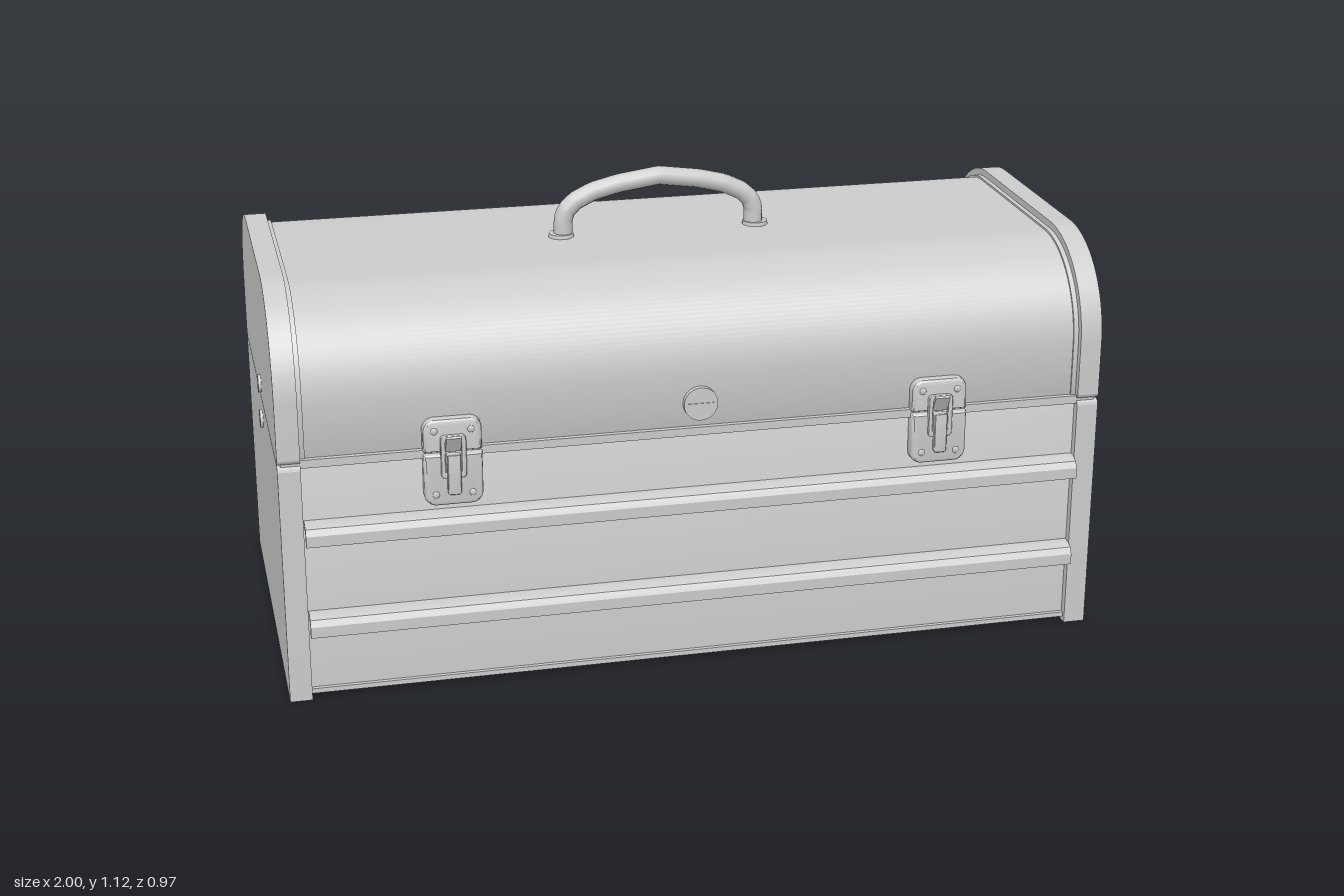
import * as THREE from 'three';
import { toCreasedNormals } from 'three/addons/utils/BufferGeometryUtils.js';

const material = new THREE.MeshStandardMaterial({ color: 0xcccccc });

function add(parent, name, geometry, x = 0, y = 0, z = 0) {
  const mesh = new THREE.Mesh(geometry, material);
  mesh.name = name;
  mesh.position.set(x, y, z);
  parent.add(mesh);
  return mesh;
}

// Rectangle with separate radii for its bottom and top corners
function roundedRect(x0, x1, y0, y1, rBottom, rTop) {
  const s = new THREE.Shape();
  s.moveTo(x0 + rBottom, y0);
  s.lineTo(x1 - rBottom, y0);
  if (rBottom) s.absarc(x1 - rBottom, y0 + rBottom, rBottom, -Math.PI / 2, 0);
  s.lineTo(x1, y1 - rTop);
  if (rTop) s.absarc(x1 - rTop, y1 - rTop, rTop, 0, Math.PI / 2);
  s.lineTo(x0 + rTop, y1);
  if (rTop) s.absarc(x0 + rTop, y1 - rTop, rTop, Math.PI / 2, Math.PI);
  s.lineTo(x0, y0 + rBottom);
  if (rBottom) s.absarc(x0 + rBottom, y0 + rBottom, rBottom, Math.PI, Math.PI * 1.5);
  return s;
}

// Extrude a side profile (drawn in -z, y) along x
function extrudeX(shape, x0, x1) {
  const g = new THREE.ExtrudeGeometry(shape, { depth: x1 - x0, bevelEnabled: false, curveSegments: 16 });
  g.rotateY(Math.PI / 2).translate(x0, 0, 0);
  return toCreasedNormals(g, 0.5);
}

// Extrude a front outline towards +z with a rounded rim
function pressed(shape, depth, bevel) {
  const g = new THREE.ExtrudeGeometry(shape, {
    depth: depth - bevel, bevelThickness: bevel, bevelSize: bevel, bevelOffset: -bevel,
    bevelSegments: 3, curveSegments: 6,
  });
  return toCreasedNormals(g, 0.5);
}

function makeLatch() {
  const latch = new THREE.Group();
  latch.name = 'latch';
  add(latch, 'latchLowerPlate', pressed(roundedRect(-0.069, 0.069, 0.47, 0.598, 0.028, 0.004), 0.03, 0.012), 0, 0, 0.44);
  add(latch, 'latchUpperPlate', pressed(roundedRect(-0.069, 0.069, 0.601, 0.682, 0.004, 0.028), 0.024, 0.012), 0, 0, 0.44);

  // Wire loop hooked over the catch
  const loop = roundedRect(-0.03, 0.03, 0.54, 0.645, 0.01, 0.01);
  loop.holes.push(roundedRect(-0.019, 0.019, 0.552, 0.633, 0.006, 0.006));
  add(latch, 'latchLoop', pressed(loop, 0.012, 0.003), 0, 0, 0.463);

  // Lever and the tilted catch
  add(latch, 'latchLever', pressed(roundedRect(-0.016, 0.016, 0.5, 0.6, 0.008, 0.004), 0.018, 0.004), 0, 0, 0.463);
  const hook = add(latch, 'latchCatch', new THREE.BoxGeometry(0.036, 0.045, 0.007), 0, 0.625, 0.474);
  hook.rotation.x = 0.5;

  for (const x of [-0.043, 0.043]) {
    for (const [y, z] of [[0.5, 0.469], [0.655, 0.463]]) {
      const rivet = add(latch, 'latchRivet', new THREE.SphereGeometry(0.009, 10, 6), x, y, z);
      rivet.scale.z = 0.45;
    }
  }
  return latch;
}

export function createModel() {
  const box = new THREE.Group();
  box.name = 'toolbox';

  // Lower case and arched lid, set in between the end panels
  add(box, 'lowerCase', extrudeX(roundedRect(-0.44, 0.466, 0.012, 0.595, 0, 0.004), -0.945, 0.945));
  add(box, 'lid', extrudeX(roundedRect(-0.44, 0.466, 0.599, 0.958, 0.004, 0.225), -0.945, 0.945));
  add(box, 'seamFiller', new THREE.BoxGeometry(1.97, 0.02, 0.88), 0, 0.597, 0.013);
  add(box, 'frontSill', new THREE.BoxGeometry(1.88, 0.012, 0.02), 0, 0.018, 0.44);

  // End panels, in a lower and an upper half
  for (const side of [-1, 1]) {
    const [x0, x1] = side < 0 ? [-0.993, -0.94] : [0.94, 0.993];
    add(box, 'lowerEndPanel', extrudeX(roundedRect(-0.46, 0.485, 0, 0.595, 0, 0.012), x0, x1));
    add(box, 'upperEndPanel', extrudeX(roundedRect(-0.46, 0.485, 0.599, 0.98, 0.012, 0.24), x0, x1));
    // Narrow bead where the lid meets the end panel
    const [b0, b1] = side < 0 ? [-0.945, -0.928] : [0.928, 0.945];
    add(box, 'lidBead', extrudeX(roundedRect(-0.444, 0.47, 0.6, 0.963, 0.004, 0.228), b0, b1));
    for (const y of [0.545, 0.637]) {
      const rivet = add(box, 'sideRivet', new THREE.CylinderGeometry(0.022, 0.022, 0.02, 24), side * 0.99, y, 0.008);
      rivet.rotation.z = Math.PI / 2;
    }
  }

  // Folded drawer pulls
  const pullProfile = [[0.435, 0.452], [0.462, 0.452], [0.478, 0.445], [0.487, 0.43], [0.487, 0.403],
    [0.473, 0.403], [0.473, 0.426], [0.467, 0.434], [0.457, 0.438], [0.435, 0.438]];
  for (const drop of [0, 0.23]) {
    const shape = new THREE.Shape(pullProfile.map(([z, y]) => new THREE.Vector2(-z, y - drop)));
    add(box, 'drawerPull', extrudeX(shape, -0.938, 0.938));
  }

  // Latches
  for (const x of [-0.59, 0.586]) {
    const latch = makeLatch();
    latch.position.x = x;
    box.add(latch);
  }

  // Round lock with a slot bar
  const lock = add(box, 'lock', new THREE.CylinderGeometry(0.041, 0.041, 0.025, 32), 0, 0.665, 0.441);
  lock.rotation.x = Math.PI / 2;
  add(box, 'lockSlot', new THREE.BoxGeometry(0.064, 0.005, 0.004), 0, 0.665, 0.4535);

  // Carrying handle: a bent rod with faceted bends
  const half = [[0.24, 0.95], [0.24, 1.0], [0.232, 1.024], [0.208, 1.046], [0.165, 1.067], [0.1, 1.083]];
  const points = [...half.map(([x, y]) => [-x, y]), [0, 1.097], ...half.slice().reverse()]
    .map(([x, y]) => new THREE.Vector3(x, y, 0.003));
  const path = new THREE.CurvePath();
  for (let i = 1; i < points.length; i++) path.add(new THREE.LineCurve3(points[i - 1], points[i]));
  add(box, 'handle', new THREE.TubeGeometry(path, 48, 0.023, 14));
  for (const x of [-0.245, 0.245]) {
    add(box, 'handleFoot', new THREE.CylinderGeometry(0.03, 0.032, 0.012, 20), x, 0.961, 0.003);
  }

  return box;
}
